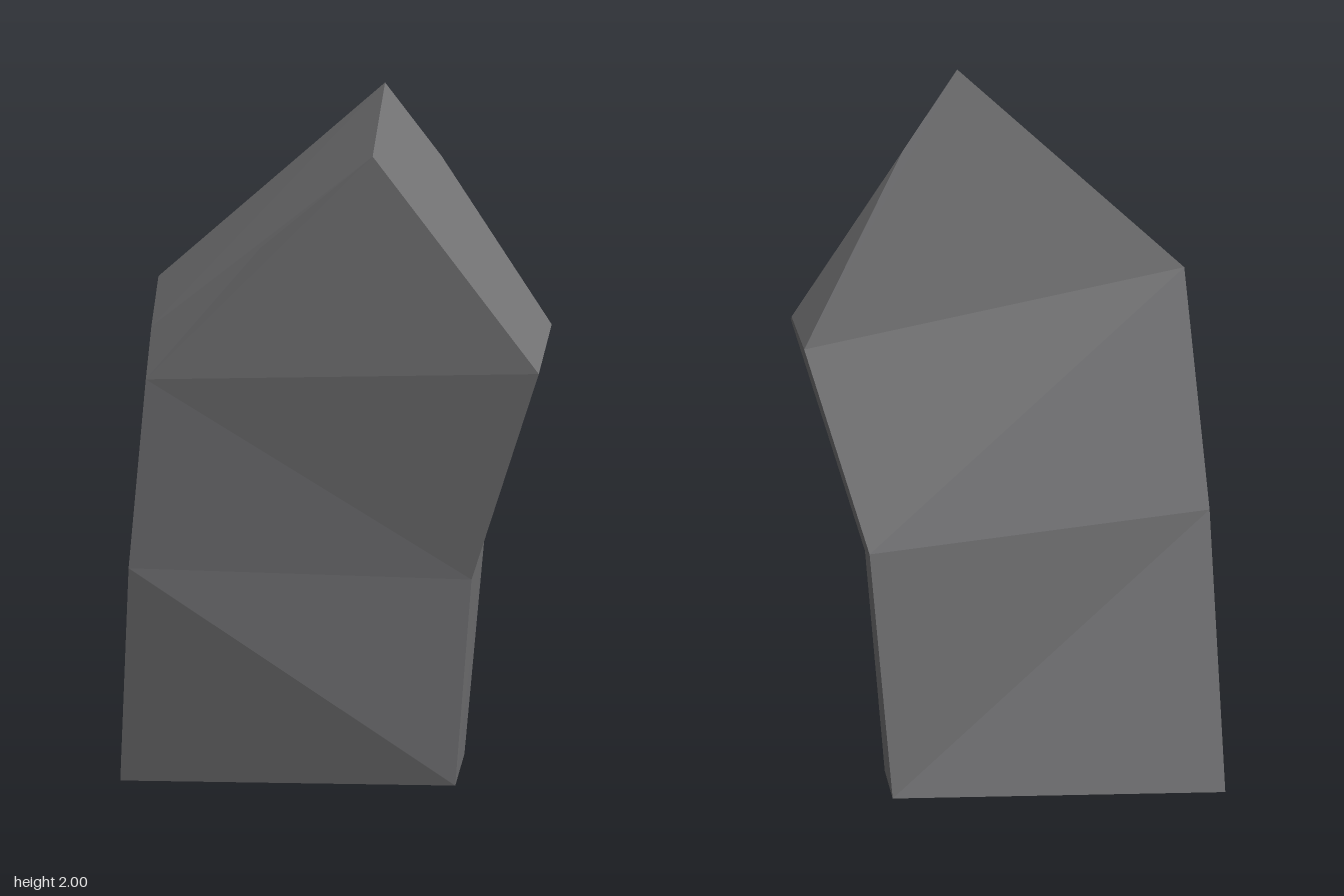
import * as THREE from 'three';

// Horizontal rings, each ordered front -x, front +x, back +x, back -x
const rings = [
  [[-0.575, 0, 0.105], [0.34, 0, -0.05], [0.29, 0, -0.38], [-0.62, 0, -0.225]],
  [[-0.51, 0.66, 0.285], [0.4, 0.61, 0.01], [0.355, 0.69, -0.37], [-0.565, 0.77, -0.09]],
  [[-0.44, 1.23, 0.377], [0.615, 1.24, 0.115], [0.545, 1.245, -0.27], [-0.485, 1.43, 0.025]],
];

// Corners of the slanted crown
const ridgeFront = [0.185, 1.885, 0.295];
const peak = [0.138, 2, -0.062];
const bevel = [-0.443, 1.36, 0.295];
const notch = [-0.12, 1.62, 0.343];
const chipTop = [0.284, 1.78, -0.127];
const chipSide = [0.59, 1.31, -0.153];

// Flat polygons become triangle fans with hard edges
function facets(name, polygons, material) {
  const points = [];
  for (const poly of polygons) {
    for (let i = 1; i < poly.length - 1; i++) points.push(...poly[0], ...poly[i], ...poly[i + 1]);
  }
  const geometry = new THREE.BufferGeometry();
  geometry.setAttribute('position', new THREE.Float32BufferAttribute(points, 3));
  geometry.computeVertexNormals();
  const mesh = new THREE.Mesh(geometry, material);
  mesh.name = name;
  return mesh;
}

export function createModel() {
  const stone = new THREE.MeshStandardMaterial({ color: 0x737375 });
  stone.name = 'grey stone';
  const group = new THREE.Group();
  group.name = 'rock';

  // Bent body: two bands of four sides and the flat base
  const body = [[...rings[0]].reverse()];
  for (let r = 0; r < 2; r++) {
    const low = rings[r], high = rings[r + 1];
    for (let i = 0; i < 4; i++) {
      const j = (i + 1) % 4;
      // the front folds along the other diagonal
      body.push(i === 0
        ? [low[j], high[j], high[i], low[i]]
        : [low[i], low[j], high[j], high[i]]);
    }
  }
  group.add(facets('rockBody', body, stone));

  // Pointed crown with two chipped corners
  const [fl, fr, br, bl] = rings[2];
  group.add(facets('rockCrown', [
    [fl, fr, ridgeFront, notch],
    [br, bl, peak, chipTop],
    [bevel, notch, ridgeFront, peak, bl],
    [ridgeFront, fr, chipSide, chipTop, peak],
  ], stone));
  group.add(facets('chippedCorners', [
    [fl, notch, bevel],
    [bl, fl, bevel],
    [chipSide, br, chipTop],
    [fr, br, chipSide],
  ], stone));

  return group;
}
